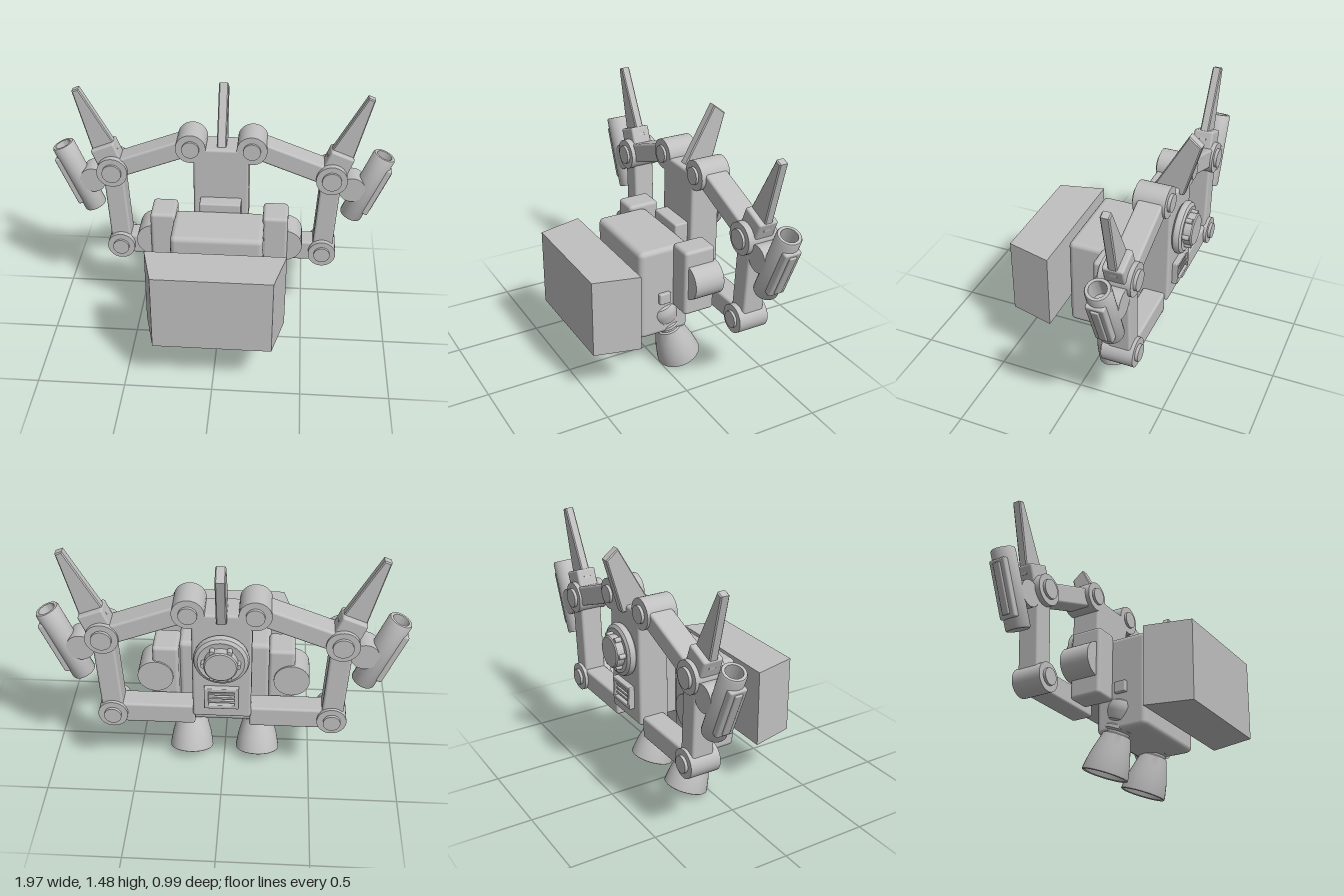
import * as THREE from 'three';
import { toCreasedNormals } from 'three/addons/utils/BufferGeometryUtils.js';
import { RoundedBoxGeometry } from 'three/addons/geometries/RoundedBoxGeometry.js';

const ZC = -0.305; // depth plane of the arms

export function createModel() {
  const grey = new THREE.MeshStandardMaterial({ color: 0xc0c0c0, side: THREE.DoubleSide });
  grey.name = 'plain grey';
  const model = new THREE.Group();
  model.name = 'backpack';

  const add = (name, geo, x = 0, y = 0, z = 0, parent = model) => {
    const m = new THREE.Mesh(geo, grey);
    m.name = name;
    m.position.set(x, y, z);
    parent.add(m);
    return m;
  };
  // Rounded box given by its extents
  const block = (name, x0, x1, y0, y1, z0, z1, r = 0.015, parent = model) =>
    add(name, new RoundedBoxGeometry(Math.abs(x1 - x0), y1 - y0, z1 - z0, 2, r),
      (x0 + x1) / 2, (y0 + y1) / 2, (z0 + z1) / 2, parent);
  // Cylinder along z given by its z extents
  const disc = (name, x, y, z0, z1, r, parent = model) => {
    const g = new THREE.CylinderGeometry(r, r, z1 - z0, 32).rotateX(Math.PI / 2);
    return add(name, g, x, y, (z0 + z1) / 2, parent);
  };
  // Lathe with sharp edges where the profile turns
  const lathe = (pts) => toCreasedNormals(
    new THREE.LatheGeometry(pts.map(([r, y]) => new THREE.Vector2(r, y)), 36), 0.6);
  // Extruded outline, centred in depth
  const slab = (pts, depth, bevel = 0.006) => new THREE.ExtrudeGeometry(
    new THREE.Shape(pts.map(([x, y]) => new THREE.Vector2(x, y))), {
      depth: depth - 2 * bevel, bevelEnabled: true, bevelSize: bevel, bevelOffset: -bevel,
      bevelThickness: bevel, bevelSegments: 1,
    }).translate(0, 0, -depth / 2 + bevel);
  // Straight arm section between two joints
  const bar = (name, ax, ay, bx, by, w, d) => {
    const m = add(name, new RoundedBoxGeometry(w, Math.hypot(bx - ax, by - ay), d, 2, 0.014),
      (ax + bx) / 2, (ay + by) / 2, ZC);
    m.rotation.z = Math.atan2(ax - bx, by - ay);
  };
  // Pivot drum with a smaller cap on both ends
  const joint = (name, x, y, r, cap) => {
    const g = new THREE.Group();
    g.name = name;
    model.add(g);
    disc('drum', x, y, ZC - 0.083, ZC + 0.095, r, g);
    disc('cap', x, y, ZC - 0.1, ZC + 0.11, cap, g);
  };

  // Floating front shield, narrower in front
  const shield = new THREE.ExtrudeGeometry(new THREE.Shape([
    new THREE.Vector2(-0.395, -0.235), new THREE.Vector2(0.395, -0.235),
    new THREE.Vector2(0.33, -0.495), new THREE.Vector2(-0.33, -0.495),
  ].reverse()), { depth: 0.455, bevelEnabled: false }).rotateX(-Math.PI / 2);
  add('frontShield', shield, 0, 0.3, 0);

  // Main body and rear tower
  block('body', -0.26, 0.26, 0.255, 0.805, -0.14, 0.17, 0.03);
  block('connector', -0.12, 0.12, 0.5, 0.85, -0.22, -0.13, 0.01);
  block('bodyLatch', -0.06, 0.06, 0.37, 0.43, -0.185, -0.13, 0.01);
  block('tower', -0.16, 0.16, 0.49, 1.16, -0.388, -0.21, 0.015);

  // Rear wheel with hub and bolts
  const wheel = add('rearWheel', lathe([
    [0, 0], [0.13, 0], [0.147, 0.012], [0.15, 0.028], [0.143, 0.045], [0.125, 0.055],
    [0.1, 0.05], [0.09, 0.05], [0.09, 0.092], [0.083, 0.098], [0, 0.098]]), 0, 0.9, -0.387);
  wheel.rotation.x = -Math.PI / 2;
  for (let i = 0; i < 6; i++) {
    const a = i * Math.PI / 3;
    disc('wheelBolt', 0.092 * Math.cos(a), 0.9 + 0.092 * Math.sin(a), -0.475, -0.43, 0.014);
  }

  // Rear vent: frame with slats
  block('ventBase', -0.075, 0.075, 0.59, 0.685, -0.395, -0.38, 0.004);
  for (const s of [-1, 1]) {
    block('ventFrameSide', s * 0.07, s * 0.095, 0.57, 0.705, -0.42, -0.38, 0.005);
    block('ventFrameEdge', -0.09, 0.09, 0.6375 + s * 0.056 - 0.0115, 0.6375 + s * 0.056 + 0.0115, -0.42, -0.38, 0.005);
  }
  for (let i = 0; i < 3; i++) {
    const y = 0.612 + i * 0.026;
    block('ventSlat', -0.075, 0.075, y - 0.007, y + 0.007, -0.412, -0.385, 0.003);
  }

  // Central fin leaning backwards
  const fin = slab([[0.225, 1.12], [0.41, 1.12], [0.495, 1.425], [0.425, 1.48], [0.225, 1.125]]
    .slice(0, 4).concat([[0.235, 1.14]]), 0.055);
  add('centralFin', fin.rotateY(Math.PI / 2));

  for (const s of [1, -1]) {
    // Shoulder block and side drum
    block('sideBlock', s * 0.25, s * 0.395, 0.43, 0.825, -0.225, -0.037, 0.02);
    disc('sideDrum', s * 0.38, 0.635, -0.235, -0.057, 0.1);
    block('bodyStub', s * 0.24, s * 0.285, 0.465, 0.53, -0.015, 0.055, 0.006);

    // Jointed arm
    bar('upperArm', s * 0.175, 1.16, s * 0.635, 0.985, 0.112, 0.14);
    bar('foreArm', s * 0.635, 0.985, s * 0.605, 0.48, 0.118, 0.128);
    bar('lowerArm', s * 0.15, 0.478, s * 0.605, 0.478, 0.125, 0.13);
    joint('shoulderJoint', s * 0.175, 1.16, 0.087, 0.05);
    joint('elbowJoint', s * 0.635, 0.985, 0.09, 0.056);
    joint('lowerJoint', s * 0.605, 0.48, 0.082, 0.048);

    // Blade rising from the elbow
    const blade = new THREE.Group();
    blade.name = 'blade';
    blade.position.set(s * 0.635, 0.985, ZC);
    blade.rotation.z = -s * 0.377;
    model.add(blade);
    block('bladeSocket', -0.072, 0.072, 0.04, 0.155, -0.058, 0.058, 0.012, blade);
    add('bladeFin', slab([[-0.074, 0.1], [0.074, 0.1], [0.02, 0.522], [-0.02, 0.522]], 0.05), 0, 0, 0, blade);

    // Outer launch tube and its mount
    disc('tubeMount', s * 0.755, 0.915, ZC - 0.065, ZC + 0.065, 0.076);
    const tube = new THREE.Group();
    tube.name = 'outerTube';
    tube.position.set(s * 0.844, 0.913, ZC);
    tube.rotation.z = -s * 0.394;
    model.add(tube);
    add('barrel', lathe([[0, -0.219], [0.062, -0.219], [0.067, -0.21], [0.067, 0.21], [0.062, 0.219],
      [0.046, 0.219], [0.044, 0.1], [0, 0.1]]), 0, 0, 0, tube);
    block('barrelPlate', s * 0.03, s * 0.078, -0.16, 0.16, -0.05, 0.05, 0.01, tube);
    block('barrelRidge', s * 0.04, s * 0.088, -0.14, 0.14, -0.022, 0.022, 0.006, tube);

    // Tilted thruster with neck, ring and hollow bell
    const thruster = add('thruster', lathe([
      [0, 0.42], [0.05, 0.42], [0.08, 0.405], [0.092, 0.375], [0.09, 0.345], [0.078, 0.3],
      [0.066, 0.29], [0.066, 0.275], [0.076, 0.268], [0.078, 0.25], [0.066, 0.24], [0.066, 0.228],
      [0.076, 0.222], [0.095, 0.16], [0.114, 0.09], [0.126, 0.02], [0.127, 0.004], [0.122, 0],
      [0.113, 0.005], [0.1, 0.09], [0.075, 0.18], [0, 0.2]]), s * 0.195, 0.043, -0.122);
    thruster.rotation.x = 0.337;
  }
  return model;
}
